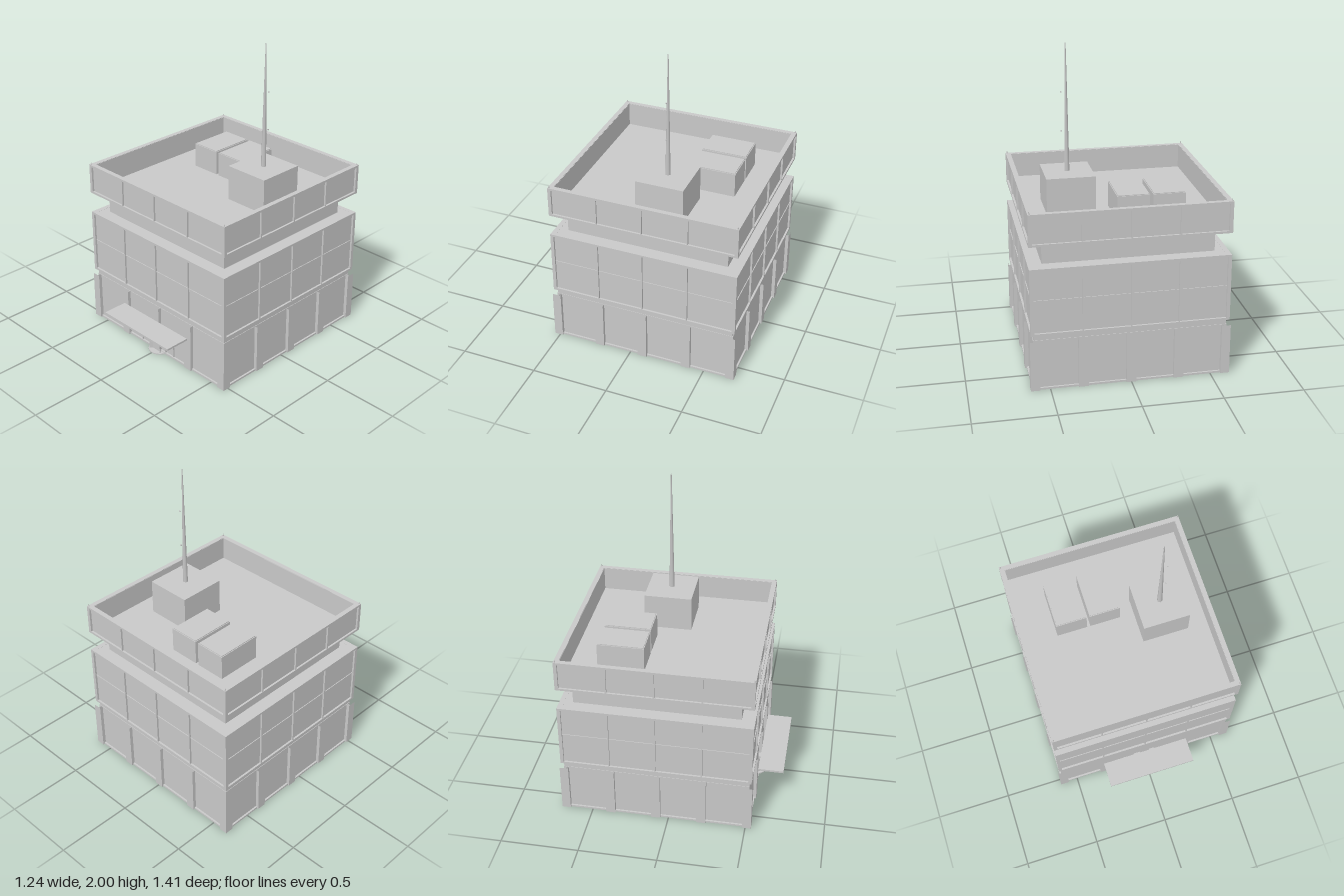
import * as THREE from 'three';

export function createModel() {
  const model = new THREE.Group();
  model.name = 'officeBuilding';
  const grey = new THREE.MeshStandardMaterial({ color: 0xc8c8c8 });
  grey.name = 'concreteGrey';
  const CZ = -0.083; // centre of the tower in z

  const add = (name, geo, parent = model) => {
    const m = new THREE.Mesh(geo, grey);
    m.name = name;
    parent.add(m);
    return m;
  };
  // box given by its limits
  const box = (name, x0, x1, y0, y1, z0, z1, parent) => {
    const g = new THREE.BoxGeometry(x1 - x0, y1 - y0, z1 - z0);
    g.translate((x0 + x1) / 2, (y0 + y1) / 2, (z0 + z1) / 2);
    return add(name, g, parent);
  };
  // hollow square ring of outer half-width h and thickness t
  const ring = (name, h, t, y0, y1) => {
    const s = new THREE.Shape([[-h, -h], [h, -h], [h, h], [-h, h]].map(p => new THREE.Vector2(...p)));
    const k = h - t;
    s.holes.push(new THREE.Path([[-k, -k], [-k, k], [k, k], [k, -k]].map(p => new THREE.Vector2(...p))));
    const g = new THREE.ExtrudeGeometry(s, { depth: y1 - y0, bevelEnabled: false });
    g.rotateX(-Math.PI / 2);
    g.translate(0, y0, CZ);
    return add(name, g);
  };
  // four copies of a facade, built facing +z about the tower axis
  const facades = (name, build) => {
    for (let i = 0; i < 4; i++) {
      const side = new THREE.Group();
      side.name = name;
      side.position.z = CZ;
      side.rotation.y = i * Math.PI / 2;
      build(side);
      model.add(side);
    }
  };

  // ground floor: recessed walls, base strip and open-topped columns
  ring('groundWall', 0.598, 0.02, 0, 0.325);
  ring('baseStrip', 0.61, 0.014, 0, 0.012);
  facades('groundColumns', side => {
    for (let i = -2; i <= 2; i++) {
      const x = i * 0.296;
      const w = Math.abs(i) === 2 ? 0.028 : 0.03;
      const column = box('column', x - w, x + w, 0, 0.325, 0.575, 0.62, side);
      const index = Array.from(column.geometry.index.array);
      index.splice(12, 6); // leave out the top face
      column.geometry.setIndex(index);
      column.geometry.clearGroups();
    }
  });
  ring('shadowBand', 0.595, 0.012, 0.325, 0.36);

  // clad storeys: recessed panels with frames and thin mullions
  const cladStorey = (name, y0, y1, seam) => {
    ring(name + 'Wall', 0.6, 0.018, y0, y1);
    ring(name + 'BottomRail', 0.613, 0.02, y0, y0 + 0.014);
    ring(name + 'TopRail', 0.613, 0.03, y1 - 0.014, y1);
    facades(name + 'Frame', side => {
      for (const s of [-1, 1]) {
        box('cornerPost', s * 0.602 - 0.011, s * 0.602 + 0.011, y0, y1, 0.591, 0.613, side);
      }
      for (const x of [-0.296, 0, 0.296]) {
        box('mullion', x - 0.004, x + 0.004, y0 + 0.014, y1 - 0.014, 0.595, 0.612, side);
      }
      if (seam) box('panelSeam', -0.595, 0.595, seam - 0.002, seam + 0.002, 0.595, 0.605, side);
    });
  };
  cladStorey('middle', 0.36, 0.79, 0.585);
  ring('middleTerrace', 0.6, 0.09, 0.765, 0.789);
  ring('neckWall', 0.528, 0.02, 0.765, 0.935);
  cladStorey('parapet', 0.93, 1.13);
  ring('parapetLining', 0.6, 0.02, 0.95, 1.128);
  box('roofDeck', -0.595, 0.595, 0.932, 0.97, CZ - 0.595, CZ + 0.595);

  // pointed finials on the parapet corners
  for (const x of [-1, 1]) for (const z of [-1, 1]) {
    add('cornerFinial', new THREE.ConeGeometry(0.006, 0.018, 4))
      .position.set(x * 0.604, 1.138, CZ + z * 0.604);
  }

  // roof plant
  for (const x of [-0.375, -0.153]) {
    box('roofUnit', x, x + 0.201, 0.97, 1.13, -0.485, -0.187);
    box('roofUnitCap', x + 0.005, x + 0.196, 1.13, 1.135, -0.48, -0.192);
  }
  box('plantRoom', 0.143, 0.447, 0.97, 1.2, -0.29, 0.02);

  // tapering mast with small fittings
  add('mast', new THREE.CylinderGeometry(0.003, 0.017, 0.8, 6)).position.set(0.297, 1.6, -0.135);
  for (const y of [1.455, 1.7]) {
    add('mastFitting', new THREE.BoxGeometry(0.007, 0.007, 0.007)).position.set(0.328, y, -0.135);
  }

  // entrance canopy and revolving door
  box('canopy', -0.3, 0.297, 0.217, 0.23, 0.54, 0.705);
  const door = new THREE.Group();
  door.name = 'revolvingDoor';
  door.position.z = 0.5;
  model.add(door);
  for (const [name, y, h] of [['doorFloor', 0.003, 0.006], ['doorCap', 0.141, 0.016]]) {
    add(name, new THREE.CylinderGeometry(0.077, 0.077, h, 24), door).position.y = y;
  }
  for (const turn of [1, 3]) {
    const wing = add('doorWing', new THREE.BoxGeometry(0.14, 0.13, 0.005), door);
    wing.position.y = 0.07;
    wing.rotation.y = turn * Math.PI / 4;
  }
  for (const s of [-1, 1]) {
    box('doorPost', s * 0.074 - 0.004, s * 0.074 + 0.004, 0, 0.14, -0.012, 0.025, door);
    box('doorJamb', s * 0.148 - 0.003, s * 0.148 + 0.003, 0.01, 0.13, -0.01, 0.024, door);
  }
  return model;
}
